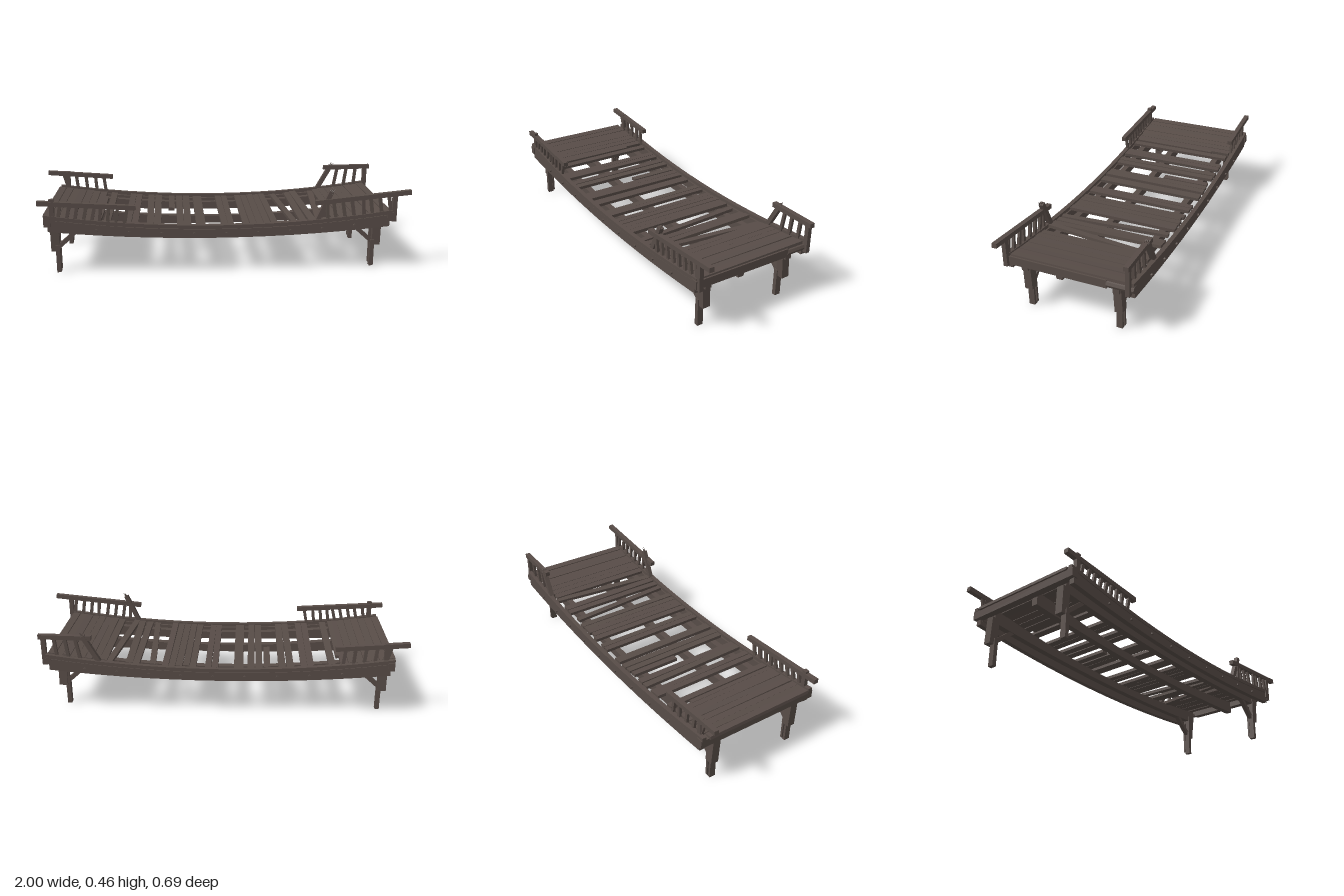
import * as THREE from 'three';

export function createModel() {
  const model = new THREE.Group();
  model.name = 'footbridge';
  const wood = new THREE.MeshStandardMaterial({ color: 0x574c47, flatShading: true });
  wood.name = 'weathered wood';

  // small seeded generator for the uneven timber
  let seed = 7;
  const rnd = (a) => {
    seed = (seed * 16807) % 2147483647;
    return (seed / 2147483647 - 0.5) * 2 * a;
  };
  const sag = (x) => (x / 0.92) ** 2;
  const deckTop = (x) => 0.26 + 0.07 * sag(x);

  function add(geometry, name, parent = model) {
    const mesh = new THREE.Mesh(geometry, wood);
    mesh.name = name;
    parent.add(mesh);
    return mesh;
  }
  function box(name, w, h, d, x, y, z, parent) {
    const m = add(new THREE.BoxGeometry(w, h, d), name, parent);
    m.position.set(x, y, z);
    return m;
  }
  // timber running between two points
  function bar(name, a, b, thick, depth, parent) {
    const p = new THREE.Vector3(...a), q = new THREE.Vector3(...b);
    const m = add(new THREE.BoxGeometry(thick, p.distanceTo(q), depth), name, parent);
    m.position.copy(p).add(q).multiplyScalar(0.5);
    m.quaternion.setFromUnitVectors(new THREE.Vector3(0, 1, 0), q.sub(p).normalize());
    return m;
  }
  // sagging beam between a lower and an upper curve
  function curvedBeam(name, x0, x1, low, high, z, depth) {
    const n = 14, shape = new THREE.Shape();
    const at = (i) => x0 + ((x1 - x0) * i) / n;
    shape.moveTo(x0, low(x0));
    for (let i = 1; i <= n; i++) shape.lineTo(at(i), low(at(i)));
    for (let i = n; i >= 0; i--) shape.lineTo(at(i), high(at(i)));
    const g = new THREE.ExtrudeGeometry(shape, { depth, bevelEnabled: false });
    g.translate(0, 0, z - depth / 2);
    return add(g, name);
  }

  // inner stringers
  for (const z of [-0.235, 0.06, 0.25]) {
    curvedBeam('stringer', -0.89, 0.88, (x) => 0.203 + 0.035 * sag(x), (x) => deckTop(x) - 0.016, z, 0.034);
  }
  // side beams, kerbs and bolts
  for (const s of [-1, 1]) {
    curvedBeam('sideBeam', -0.91, 0.89, (x) => 0.198 + 0.05 * sag(x), (x) => 0.245 + 0.067 * sag(x), s * 0.322, 0.028);
    curvedBeam('kerb', -0.93, 0.905, (x) => 0.248 + 0.067 * sag(x), (x) => 0.267 + 0.068 * sag(x), s * 0.326, 0.024);
    for (let i = -4; i <= 4; i++) {
      const x = i * 0.17 + 0.02;
      const bolt = add(new THREE.CylinderGeometry(0.008, 0.008, 0.012, 6), 'bolt');
      bolt.rotation.x = Math.PI / 2;
      bolt.position.set(x, 0.222 + 0.055 * sag(x), s * 0.339);
    }
  }
  // cross beams under each end of the deck
  box('endBeam', 0.035, 0.044, 0.685, -0.912, 0.297, 0);
  box('endBeam', 0.035, 0.044, 0.545, 0.892, 0.297, 0.07);
  const log = add(new THREE.CylinderGeometry(0.02, 0.02, 0.14, 8), 'endLog');
  log.rotation.x = Math.PI / 2;
  log.position.set(0.895, 0.297, -0.27);

  // deck planks: centre x, width, back z, front z, sideways skew
  const planks = [
    [-0.65, 0.026, -0.2, 0.31, 0], [-0.608, 0.036, -0.3, 0.31, 0],
    [-0.498, 0.034, -0.3, 0.31, 0], [-0.462, 0.034, -0.3, 0.31, 0],
    [-0.386, 0.036, -0.3, 0.31, 0.01], [-0.345, 0.038, -0.3, 0.31, 0],
    [-0.268, 0.034, -0.295, -0.025, 0],
    [-0.223, 0.036, -0.3, 0.31, 0], [-0.183, 0.038, -0.3, 0.31, 0], [-0.115, 0.05, -0.3, 0.31, 0],
    [0.012, 0.034, -0.3, 0.31, 0], [0.047, 0.032, -0.3, 0.31, 0],
    [0.128, 0.034, -0.3, 0.31, 0], [0.165, 0.034, -0.29, 0.31, 0], [0.203, 0.036, -0.3, 0.31, 0],
    [0.24, 0.034, -0.3, 0.31, 0], [0.277, 0.034, -0.3, 0.31, 0],
    [0.365, 0.032, -0.29, 0.31, 0.04], [0.433, 0.036, -0.3, 0.31, 0],
    [0.475, 0.038, -0.3, 0.31, 0.01], [0.545, 0.034, -0.3, 0.315, -0.065],
  ];
  for (let i = 0; i < 7; i++) planks.push([-0.917 + i * 0.0405, 0.039, -0.3, 0.31, 0]);
  for (let i = 0; i < 8; i++) planks.push([0.606 + i * 0.0395, 0.038, -0.3, 0.31, 0]);
  const deck = new THREE.Group();
  deck.name = 'deck';
  model.add(deck);
  for (const [x, w, z0, z1, skew] of planks) {
    const p = box('plank', w, 0.017, z1 - z0 + rnd(0.006), x, deckTop(x) - 0.008 + rnd(0.002), (z0 + z1) / 2, deck);
    p.rotation.set(rnd(0.004), Math.atan2(skew, z1 - z0) + rnd(0.005), Math.atan(0.165 * x) + rnd(0.03));
  }

  // supports: wide upper post, narrow lower leg, brace and cap
  for (const [side, upperX, lowerX] of [[-1, -0.888, -0.875], [1, 0.843, 0.822]]) {
    for (const z of [-0.235, 0.25]) {
      const support = new THREE.Group();
      support.name = 'support';
      model.add(support);
      const lean = z > 0 ? 0.004 : 0.006;
      bar('upperPost', [upperX, 0.118, z - lean], [upperX, 0.262, z + lean - 0.004], 0.045, 0.042, support);
      box('lowerLeg', 0.022, 0.15, 0.032, lowerX, 0.075, z + 0.006, support);
      box('legStrip', 0.012, 0.2, 0.012, lowerX - side * 0.008, 0.112, z - 0.012, support);
      bar('brace', [lowerX, 0.135, z], [lowerX - side * 0.115, 0.238, z], 0.022, 0.026, support);
    }
  }

  // broken railings: z, rail ends, baluster span, baluster count, baluster lean
  const railings = [
    [0.325, [-0.96, 0.4], [-0.455, 0.368], -0.86, -0.52, 9, 0.02],
    [-0.315, [-1, 0.415], [-0.62, 0.386], -0.88, -0.66, 5, -0.02],
    [0.325, [0.49, 0.378], [1, 0.428], 0.56, 0.9, 8, -0.012],
    [-0.315, [0.66, 0.424], [0.94, 0.428], 0.72, 0.91, 4, 0.015],
  ];
  for (const [z, a, b, x0, x1, count, lean] of railings) {
    const railing = new THREE.Group();
    railing.name = 'railing';
    model.add(railing);
    bar('handrail', [...a, z], [...b, z], 0.024, 0.026, railing);
    for (let i = 0; i < count; i++) {
      const x = x0 + ((x1 - x0) * i) / (count - 1);
      const top = a[1] + ((b[1] - a[1]) * (x - a[0])) / (b[0] - a[0]);
      bar('baluster', [x, deckTop(x) - 0.03, z], [x + lean + rnd(0.012), top, z + rnd(0.004)], 0.017, 0.014, railing);
    }
    // thicker post at the bridge end
    const px = a[0] < 0 ? -0.885 : 0.915;
    box('endPost', 0.024, 0.15, 0.022, px, 0.345, z, railing);
  }

  // leaning snapped posts with splintered tops
  for (const [x, z, dx] of [[0.505, 0.318, 0.07], [0.625, -0.318, 0.08]]) {
    const y = deckTop(x);
    bar('snappedPost', [x, y, z], [x + dx, 0.435, z], 0.024, 0.024);
    for (const k of [-1, 0, 1]) {
      const tip = add(new THREE.ConeGeometry(0.006, 0.035, 4), 'splinter');
      tip.position.set(x + dx + 0.004 + k * 0.005, 0.438 - k * 0.003, z + k * 0.007);
      tip.rotation.z = -0.5;
    }
  }
  return model;
}
